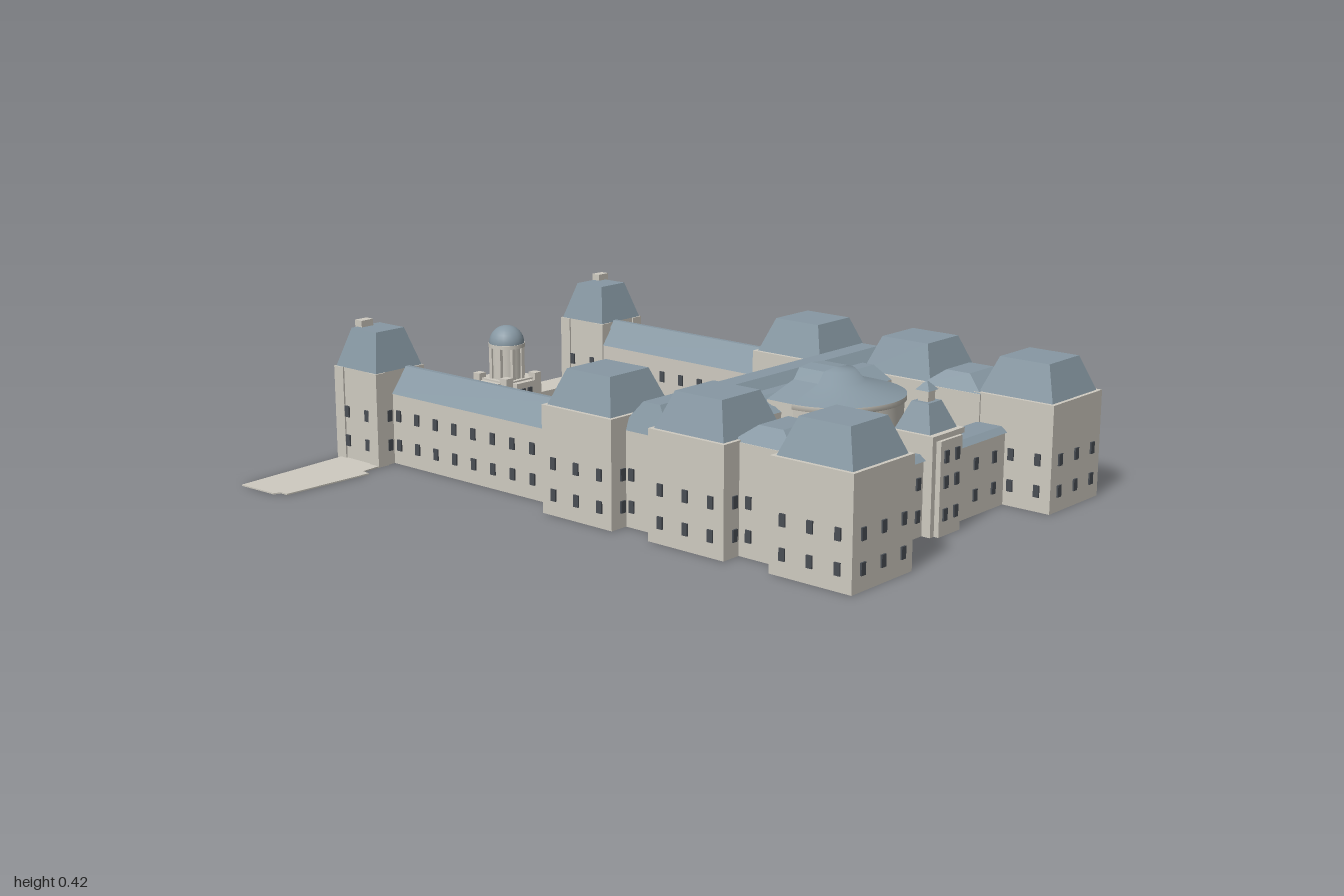
import * as THREE from 'three';

const wallMat = new THREE.MeshStandardMaterial({ color: 0xcfcbc1 });
const roofMat = new THREE.MeshStandardMaterial({ color: 0x8798a3 });
const domeMat = new THREE.MeshStandardMaterial({ color: 0x8798a3, side: THREE.DoubleSide });
const drumMat = new THREE.MeshStandardMaterial({ color: 0xcfcbc1, side: THREE.DoubleSide });
const glassMat = new THREE.MeshStandardMaterial({ color: 0x4a4f55 });
const TILT = -0.038; // the whole plan is turned slightly

function add(parent, name, geometry, material, x = 0, y = 0, z = 0) {
  const mesh = new THREE.Mesh(geometry, material);
  mesh.name = name;
  mesh.position.set(x, y, z);
  parent.add(mesh);
  return mesh;
}

function place(parent, name, x, z, rotation = TILT) {
  const group = new THREE.Group();
  group.name = name;
  group.position.set(x, 0, z);
  group.rotation.y = rotation;
  parent.add(group);
  return group;
}

function block(parent, name, w, d, y0, y1, mat = wallMat, x = 0, z = 0) {
  return add(parent, name, new THREE.BoxGeometry(w, y1 - y0, d), mat, x, (y0 + y1) / 2, z);
}

// Box whose upper corners are drawn in to make a hipped or mansard roof
function hipRoof(parent, name, w, d, topW, topD, y0, y1, x = 0, z = 0) {
  const g = new THREE.BoxGeometry(w, y1 - y0, d);
  const p = g.attributes.position;
  for (let i = 0; i < p.count; i++) {
    if (p.getY(i) > 0) {
      p.setX(i, p.getX(i) * topW / w);
      p.setZ(i, p.getZ(i) * topD / d);
    }
  }
  g.computeVertexNormals();
  return add(parent, name, g, roofMat, x, (y0 + y1) / 2, z);
}

// Rows of windows on all four sides of a w by d block
function windows(parent, w, d, nx, nz, rows = [0.06, 0.15], x = 0, z = 0) {
  for (const y of rows) {
    for (const s of [-1, 1]) {
      for (let i = 0; i < nx; i++) {
        const u = ((i + 0.5) / nx - 0.5) * w;
        add(parent, 'window', new THREE.BoxGeometry(0.018, 0.034, 0.01), glassMat, x + u, y, z + s * d / 2);
      }
      for (let i = 0; i < nz; i++) {
        const u = ((i + 0.5) / nz - 0.5) * d;
        add(parent, 'window', new THREE.BoxGeometry(0.01, 0.034, 0.018), glassMat, x + s * w / 2, y, z + u);
      }
    }
  }
}

function pavilion(root, x, z) {
  const g = place(root, 'pavilion', x, z);
  block(g, 'pavilionWalls', 0.255, 0.26, 0, 0.31);
  hipRoof(g, 'pavilionRoof', 0.232, 0.237, 0.155, 0.16, 0.31, 0.41);
  windows(g, 0.255, 0.26, 3, 3);
}

function cornerTower(root, x, z, chimneyX, chimneyZ) {
  const g = place(root, 'cornerTower', x, z);
  block(g, 'towerWalls', 0.18, 0.18, 0, 0.285);
  for (const sx of [-1, 1]) for (const sz of [-1, 1])
    block(g, 'cornerPier', 0.04, 0.04, 0, 0.285, wallMat, sx * 0.075, sz * 0.075);
  hipRoof(g, 'towerRoof', 0.18, 0.18, 0.11, 0.11, 0.285, 0.4);
  block(g, 'chimney', 0.045, 0.03, 0.32, 0.42, wallMat, chimneyX, chimneyZ);
  windows(g, 0.18, 0.18, 2, 2);
}

function rearWing(root, x, z, rotation) {
  const g = place(root, 'rearWing', x, z, rotation);
  block(g, 'wingWalls', 0.125, 0.76, 0, 0.215);
  hipRoof(g, 'wingRoof', 0.13, 0.76, 0.015, 0.76, 0.215, 0.29);
  windows(g, 0.125, 0.72, 0, 9);
}

function crossWing(root) {
  const g = place(root, 'crossWing', 0.14, 0.235);
  block(g, 'crossWingWalls', 1.04, 0.18, 0, 0.27);
  hipRoof(g, 'crossWingRoof', 1.04, 0.185, 0.98, 0.06, 0.27, 0.35);
  windows(g, 1.04, 0.18, 12, 2);
  // Raised strip on the court side
  block(g, 'hallBack', 0.66, 0.17, 0, 0.3, wallMat, 0, 0.11);
  hipRoof(g, 'hallRoof', 0.66, 0.17, 0.66, 0.04, 0.3, 0.335, 0, 0.11);
  // Rear portico with a pediment
  block(g, 'portico', 0.15, 0.08, 0, 0.24, wallMat, 0, -0.095);
  for (let i = 0; i < 4; i++)
    block(g, 'porticoPilaster', 0.012, 0.01, 0, 0.24, wallMat, -0.069 + i * 0.046, -0.137);
  block(g, 'porticoCornice', 0.16, 0.09, 0.235, 0.25, wallMat, 0, -0.095);
  const tri = new THREE.Shape([[-0.08, 0], [0.08, 0], [0, 0.045]].map(p => new THREE.Vector2(...p)));
  add(g, 'pediment', new THREE.ExtrudeGeometry(tri, { depth: 0.12, bevelEnabled: false }), wallMat, 0, 0.25, -0.14);
  windows(g, 0.14, 0.08, 3, 0, [0.05, 0.12, 0.19], 0, -0.095);
}

// Round hall: half-round front joined to a straight back
function roundHall(root) {
  const g = place(root, 'roundHall', 0.14, 0.47);
  block(g, 'lowerDeck', 0.66, 0.22, 0, 0.21, wallMat, 0, 0);
  block(g, 'frontDeck', 0.5, 0.26, 0, 0.21, wallMat, 0, 0.12);
  const drum = [[0.19, 0.2], [0.19, 0.315], [0.197, 0.315], [0.197, 0.33]];
  const roof = [[0.197, 0.33], [0.08, 0.365], [0.055, 0.395], [0, 0.4]];
  for (const [name, pts, mat] of [['drum', drum, drumMat], ['domeRoof', roof, domeMat]]) {
    const v = pts.map(p => new THREE.Vector2(...p));
    const lathe = new THREE.LatheGeometry(v, 28, -Math.PI / 2, Math.PI);
    add(g, name, lathe, mat);
    const outline = [...v, ...v.map(p => new THREE.Vector2(-p.x, p.y)).reverse()];
    const back = new THREE.ExtrudeGeometry(new THREE.Shape(outline), { depth: 0.085, bevelEnabled: false });
    add(g, name + 'Back', back, mat, 0, 0, -0.085);
  }
}

function frontWing(root) {
  const g = place(root, 'frontWing', 0.125, 0.765);
  block(g, 'frontWingWalls', 0.68, 0.105, 0, 0.21);
  hipRoof(g, 'frontWingRoof', 0.68, 0.12, 0.68, 0.08, 0.21, 0.225);
  windows(g, 0.64, 0.105, 7, 0);
  // Entrance tower
  block(g, 'entranceTower', 0.135, 0.13, 0, 0.27, wallMat, 0, 0.015);
  block(g, 'entranceBay', 0.1, 0.05, 0, 0.265, wallMat, 0, 0.07);
  block(g, 'entranceCornice', 0.148, 0.14, 0.265, 0.28, wallMat, 0, 0.015);
  hipRoof(g, 'entranceRoof', 0.125, 0.115, 0.06, 0.055, 0.28, 0.355, 0, 0.01);
  block(g, 'lantern', 0.032, 0.032, 0.35, 0.385, wallMat, 0, 0.01);
  hipRoof(g, 'lanternRoof', 0.045, 0.045, 0.004, 0.004, 0.385, 0.408, 0, 0.01);
  windows(g, 0.1, 0.05, 2, 0, [0.06, 0.15, 0.22], 0, 0.07);
}

function gate(root) {
  const g = place(root, 'rearGallery', 0.19, -0.832, -0.05);
  block(g, 'galleryWalls', 0.82, 0.105, 0, 0.11);
  windows(g, 0.78, 0.105, 10, 0, [0.06]);
  block(g, 'gatehouse', 0.13, 0.13, 0, 0.17);
  block(g, 'gateBayAcross', 0.18, 0.08, 0, 0.165);
  block(g, 'gateBayThrough', 0.08, 0.17, 0, 0.165);
  for (const sx of [-1, 1]) for (const sz of [-1, 1])
    block(g, 'gatePier', 0.028, 0.028, 0, 0.185, wallMat, sx * 0.062, sz * 0.062);
  windows(g, 0.06, 0.17, 2, 0, [0.06, 0.13]);
  // Drum ringed with small piers, under a round cap
  add(g, 'gateDrum', new THREE.CylinderGeometry(0.05, 0.05, 0.11, 16), wallMat, 0, 0.22, 0);
  for (let i = 0; i < 8; i++) {
    const a = i * Math.PI / 4 + Math.PI / 8;
    block(g, 'drumPier', 0.012, 0.012, 0.17, 0.27, wallMat, 0.051 * Math.cos(a), 0.051 * Math.sin(a));
  }
  add(g, 'gateRing', new THREE.CylinderGeometry(0.058, 0.058, 0.012, 20), wallMat, 0, 0.275, 0);
  add(g, 'gateDome', new THREE.SphereGeometry(0.056, 20, 8, 0, Math.PI * 2, 0, Math.PI / 2), domeMat, 0, 0.281, 0);
}

export function createModel() {
  const root = new THREE.Group();
  root.name = 'palace';

  for (const [x, z] of [[-0.33, 0.82], [0.577, 0.857], [-0.317, 0.413], [0.593, 0.453], [-0.303, 0.022], [0.608, 0.057]])
    pavilion(root, x, z);

  // Short links between the front pavilions
  for (const [x, z] of [[-0.293, 0.617], [0.55, 0.65]]) {
    const g = place(root, 'pavilionLink', x, z);
    block(g, 'linkWalls', 0.195, 0.2, 0, 0.305);
    hipRoof(g, 'linkRoof', 0.19, 0.2, 0.12, 0.08, 0.305, 0.35);
    windows(g, 0.195, 0.16, 0, 2);
  }

  crossWing(root);
  roundHall(root);
  frontWing(root);
  rearWing(root, -0.277, -0.46, -0.033);
  rearWing(root, 0.627, -0.42, -0.05);
  cornerTower(root, -0.297, -0.897, -0.01, -0.05);
  cornerTower(root, 0.675, -0.858, 0.045, -0.045);
  gate(root);

  // Thin terrace beside the rear corner
  const plan = [[-0.78, -0.97], [-0.36, -0.98], [-0.36, -0.81], [-0.46, -0.805], [-0.465, -0.775], [-0.76, -0.795], [-0.76, -0.82], [-0.78, -0.83]];
  const shape = new THREE.Shape(plan.map(([x, z]) => new THREE.Vector2(x, -z)));
  const terrace = new THREE.ExtrudeGeometry(shape, { depth: 0.004, bevelEnabled: false }).rotateX(-Math.PI / 2);
  add(root, 'terrace', terrace, wallMat);

  return root;
}
